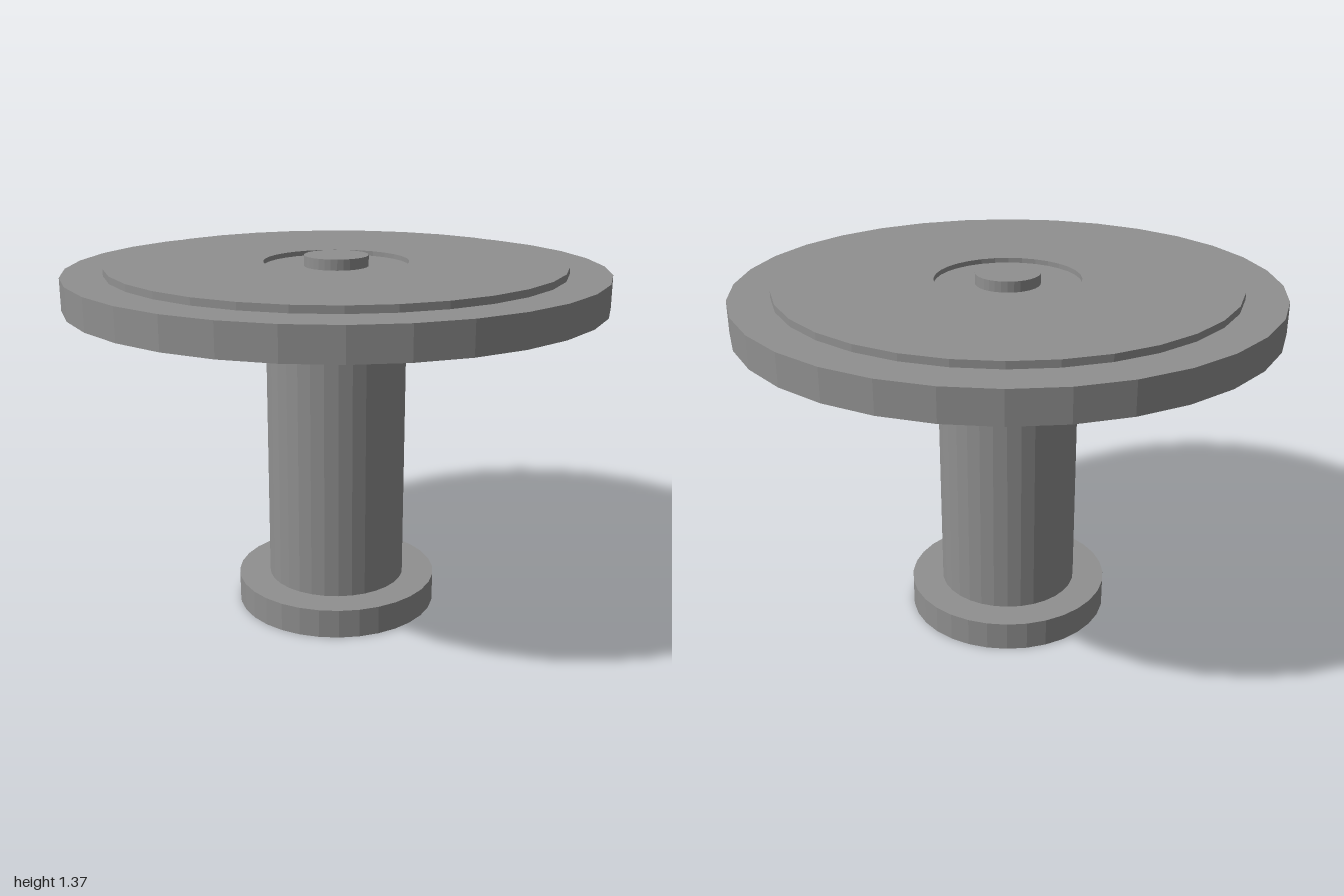
import * as THREE from 'three';

const SIDES = 32;

export function createModel() {
  const group = new THREE.Group();
  const grey = new THREE.MeshStandardMaterial({ color: 0x909090 });
  grey.name = 'grey';
  grey.flatShading = true;

  // Turned part from [radius, height] points, listed bottom to top
  const turned = (name, profile) => {
    const points = profile.map(([r, y]) => new THREE.Vector2(r, y));
    const mesh = new THREE.Mesh(new THREE.LatheGeometry(points, SIDES), grey);
    mesh.name = name;
    group.add(mesh);
  };

  // Round foot with the column standing on it
  turned('foot', [[0, 0], [0.387, 0], [0.387, 0.11], [0.265, 0.11]]);
  turned('column', [[0.265, 0.11], [0.265, 1.205]]);

  // Wide disc: outer rim, raised step and shallow central recess
  turned('disc', [
    [0.265, 1.205], [1, 1.205], [1, 1.322], [0.848, 1.322],
    [0.848, 1.348], [0.27, 1.348], [0.27, 1.33], [0.12, 1.33],
  ]);

  // Small hub in the recess
  turned('hub', [[0.12, 1.33], [0.12, 1.37], [0, 1.37]]);

  return group;
}
